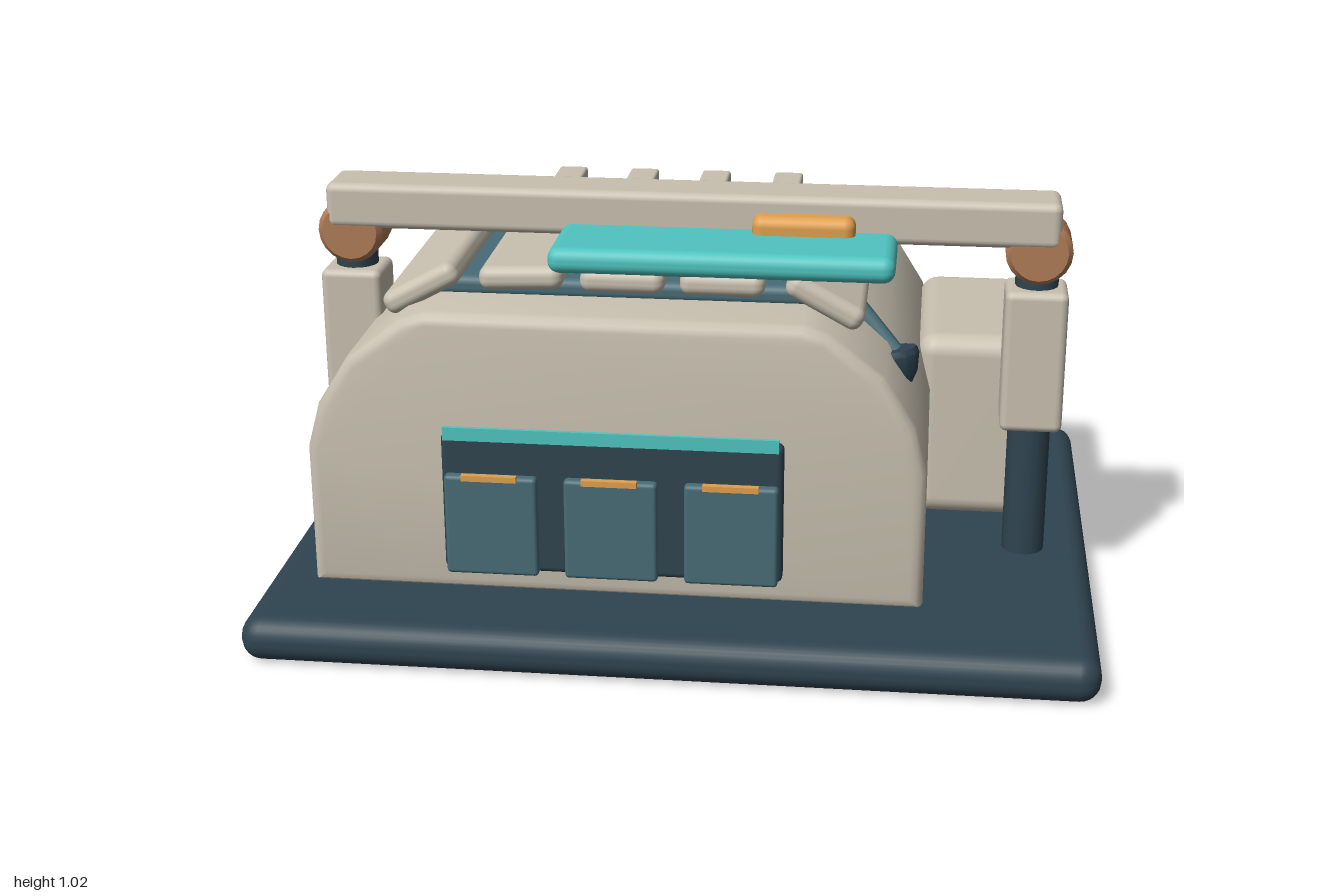
import * as THREE from 'three';
import { toCreasedNormals } from 'three/addons/utils/BufferGeometryUtils.js';
import { RoundedBoxGeometry } from 'three/addons/geometries/RoundedBoxGeometry.js';

const mat = (color) => new THREE.MeshStandardMaterial({ color });

export function createModel() {
  const model = new THREE.Group();
  const shell = mat(0xc8c0b0), dark = mat(0x2f4450), slate = mat(0x486c76);
  const cyan = mat(0x4fc4c0), amber = mat(0xe0a04e), copper = mat(0xb07c58);

  const add = (name, geometry, material, x = 0, y = 0, z = 0) => {
    const mesh = new THREE.Mesh(geometry, material);
    mesh.name = name;
    mesh.position.set(x, y, z);
    model.add(mesh);
    return mesh;
  };
  // Rounded box given by its limits on each axis
  const box = (name, material, [x0, x1], [y0, y1], [z0, z1], r) =>
    add(name, new RoundedBoxGeometry(x1 - x0, y1 - y0, z1 - z0, 3, r), material,
      (x0 + x1) / 2, (y0 + y1) / 2, (z0 + z1) / 2);

  // Ground slab
  box('base', dark, [-1, 1], [0, 0.11], [-0.75, 0.75], 0.05);

  // Main housing: chamfered arch profile with bevelled ends
  const half = [[0.735, 0.1], [0.735, 0.45], [0.705, 0.56], [0.63, 0.68], [0.5, 0.78], [0.44, 0.8]];
  const outline = [...half, ...half.map(([x, y]) => [-x, y]).reverse()]
    .map(([x, y]) => new THREE.Vector2(x, y));
  const bevel = 0.03;
  const housing = new THREE.ExtrudeGeometry(new THREE.Shape(outline), {
    depth: 1.165 - 2 * bevel, bevelSize: bevel, bevelThickness: bevel,
    bevelOffset: -bevel, bevelSegments: 3,
  });
  add('housing', toCreasedNormals(housing, 0.6), shell, -0.145, 0, -0.665 + bevel);

  // Side unit and grip rail on the opposite flank
  box('sideUnit', shell, [0.555, 0.86], [0.1, 0.59], [-0.63, -0.07], 0.05);
  const rail = box('sideRail', shell, [-0.875, -0.825], [0.47, 0.57], [-0.6, -0.12], 0.024);
  rail.rotation.z = -0.3;

  // Roof bed, slats and rear ribs
  box('roofBed', slate, [-0.64, 0.36], [0.79, 0.84], [-0.5, 0.33], 0.02);
  const slats = [[-0.615, 0.82, 0.5], [-0.375, 0.855, 0.04], [-0.135, 0.855, 0], [0.1, 0.855, 0], [0.34, 0.82, -0.5]];
  for (const [x, y, tilt] of slats) {
    const slat = box('roofSlat', shell, [x - 0.1, x + 0.1], [y - 0.029, y + 0.029], [-0.41, 0.39], 0.025);
    slat.rotation.z = tilt;
  }
  for (let i = 0; i < 4; i++) {
    const x = -0.392 + i * 0.195;
    box('rearRib', shell, [x - 0.038, x + 0.038], [0.815, 0.895], [-0.51, -0.155], 0.008);
  }

  // Gantry: posts, sleeves, pivots and cross beam
  for (const s of [-1, 1]) {
    const x = s * 0.835, z = 0.115;
    add('post', new THREE.CylinderGeometry(0.052, 0.052, 0.8, 16), dark, x, 0.49, z);
    box('sleeve', shell, [x - 0.075, x + 0.075], [0.445, 0.8], [0.05, 0.195], 0.018);
    const pivot = [[0, -0.066], [0.068, -0.066], [0.08, -0.052], [0.08, 0.052], [0.068, 0.066], [0, 0.066]]
      .map(([r, y]) => new THREE.Vector2(r, y));
    const joint = add('pivot', toCreasedNormals(new THREE.LatheGeometry(pivot, 20), 0.6), copper, x, 0.895, z);
    joint.rotation.x = Math.PI / 2;
  }
  box('crossBeam', shell, [-0.89, 0.885], [0.905, 1.017], [0.037, 0.185], 0.02);

  // Tool carriage and tray hung from the beam
  box('carriage', amber, [0.155, 0.4], [0.825, 0.978], [-0.012, 0.233], 0.025);
  box('tray', cyan, [-0.31, 0.5], [0.872, 0.935], [0.15, 0.4], 0.028);

  // Small nozzle on the shoulder
  const from = new THREE.Vector3(0.37, 0.79, 0.16), to = new THREE.Vector3(0.5, 0.65, 0.22);
  const dir = to.clone().sub(from);
  const arm = add('nozzleArm', new THREE.CylinderGeometry(0.025, 0.025, dir.length(), 10), slate);
  arm.position.copy(from).lerp(to, 0.5);
  arm.quaternion.setFromUnitVectors(new THREE.Vector3(0, 1, 0), dir.normalize());
  const cupProfile = [[0, -0.075], [0.03, -0.075], [0.05, -0.045], [0.062, 0], [0.058, 0.015], [0, 0.015]]
    .map(([r, y]) => new THREE.Vector2(r, y));
  const cup = add('nozzle', toCreasedNormals(new THREE.LatheGeometry(cupProfile, 12), 0.6), dark, 0.5, 0.645, 0.225);
  cup.rotation.set(-0.15, 0, 0.2);

  // Front panel with three drawers, pulls and a light strip
  box('frontPanel', dark, [-0.545, 0.26], [0.175, 0.52], [0.495, 0.54], 0.015);
  for (let i = 0; i < 3; i++) {
    const x = -0.425 + i * 0.283;
    box('drawer', slate, [x - 0.11, x + 0.11], [0.175, 0.425], [0.535, 0.565], 0.01);
    add('drawerPull', new THREE.BoxGeometry(0.13, 0.014, 0.016), amber, x, 0.427, 0.573);
  }
  add('lightStrip', new THREE.BoxGeometry(0.785, 0.032, 0.01), cyan, -0.142, 0.528, 0.553);

  return model;
}
